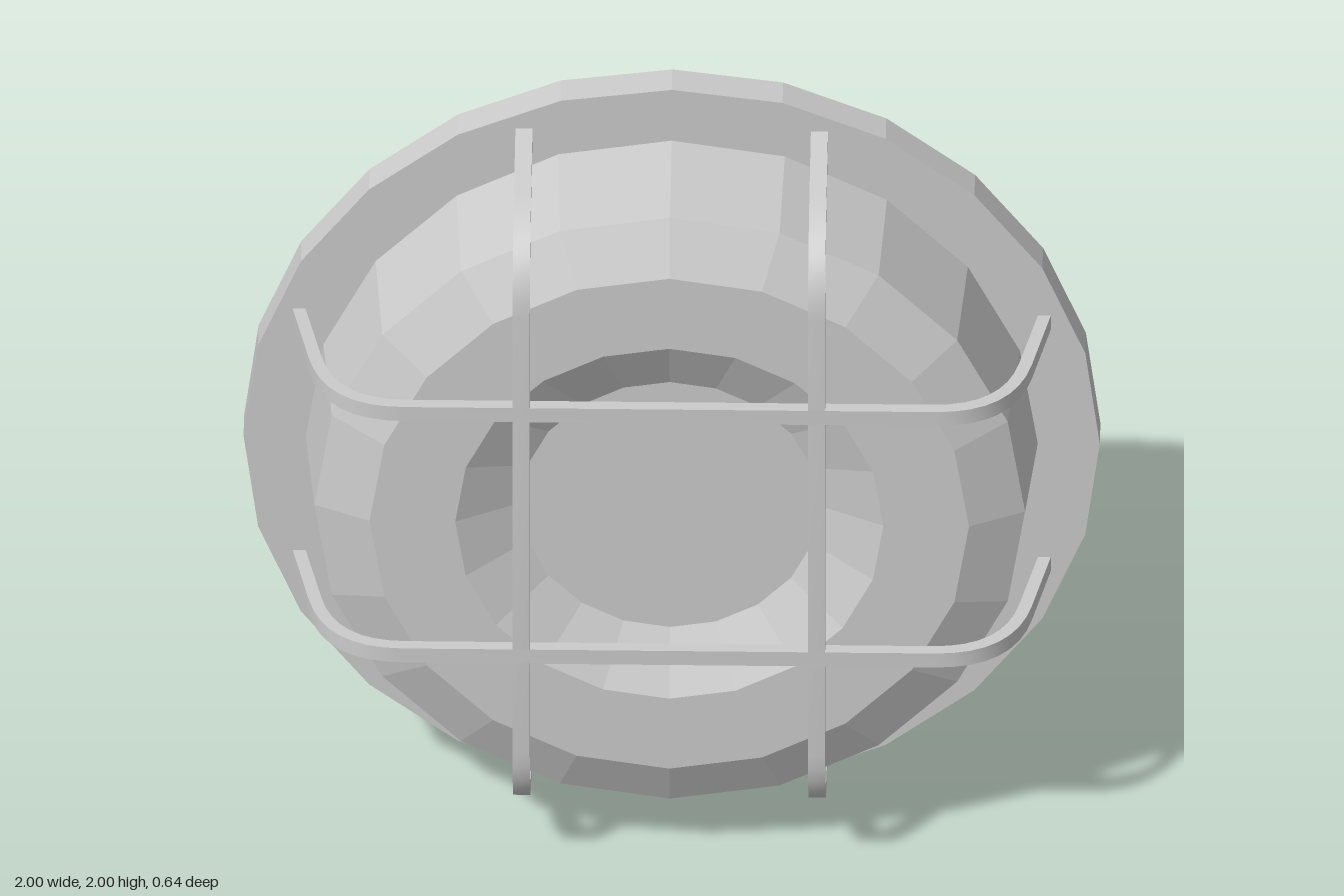
import * as THREE from 'three';
import { toCreasedNormals } from 'three/addons/utils/BufferGeometryUtils.js';

export function createModel() {
  const group = new THREE.Group();
  const faceted = new THREE.MeshStandardMaterial({
    color: 0xcccccc, flatShading: true, side: THREE.DoubleSide,
  });
  const smooth = new THREE.MeshStandardMaterial({ color: 0xcccccc });

  const add = (name, geometry, material, x = 0, y = 0) => {
    const mesh = new THREE.Mesh(geometry, material);
    mesh.name = name;
    mesh.position.set(x, y + 1, 0);
    group.add(mesh);
  };

  // Turned part whose axis points to the front: profile is [radius, z]
  const turned = (profile, sides) =>
    new THREE.LatheGeometry(profile.map(([r, z]) => new THREE.Vector2(r, z)), sides)
      .rotateX(Math.PI / 2);

  // Hollow base, open at the back, closed by the front plate
  add('base', turned([
    [0.86, -0.32], [0.88, -0.235], [1, -0.16], [1, -0.077], [0, -0.077],
  ], 24), faceted);

  // Lens with a dished centre
  add('lens', turned([
    [0.855, -0.077], [0.83, 0.2], [0.7, 0.263], [0.5, 0.263], [0.35, 0.185], [0, 0.185],
  ], 20), faceted);

  // Guard bar: flat strip bent at both ends, its feet just through the plate
  const barWidth = 0.04;
  const outline = new THREE.Shape();
  outline.moveTo(-0.888, -0.09);
  outline.lineTo(-0.845, 0.12);
  outline.quadraticCurveTo(-0.805, 0.318, -0.62, 0.318);
  outline.lineTo(0.62, 0.318);
  outline.quadraticCurveTo(0.805, 0.318, 0.845, 0.12);
  outline.lineTo(0.888, -0.09);
  outline.lineTo(0.858, -0.09);
  outline.lineTo(0.815, 0.115);
  outline.quadraticCurveTo(0.78, 0.288, 0.615, 0.288);
  outline.lineTo(-0.615, 0.288);
  outline.quadraticCurveTo(-0.78, 0.288, -0.815, 0.115);
  outline.lineTo(-0.858, -0.09);
  outline.closePath();
  const strip = new THREE.ExtrudeGeometry(outline, {
    depth: barWidth, bevelEnabled: false, curveSegments: 8,
  }).translate(0, 0, -barWidth / 2).rotateX(Math.PI / 2);
  const horizontal = toCreasedNormals(strip, 0.6);
  const vertical = horizontal.clone().rotateZ(Math.PI / 2);

  // Two bars each way form the guard
  for (const side of [-1, 1]) {
    add('horizontalGuardBar', horizontal, smooth, 0, side * 0.345);
    add('verticalGuardBar', vertical, smooth, side * 0.345, 0);
  }
  return group;
}
